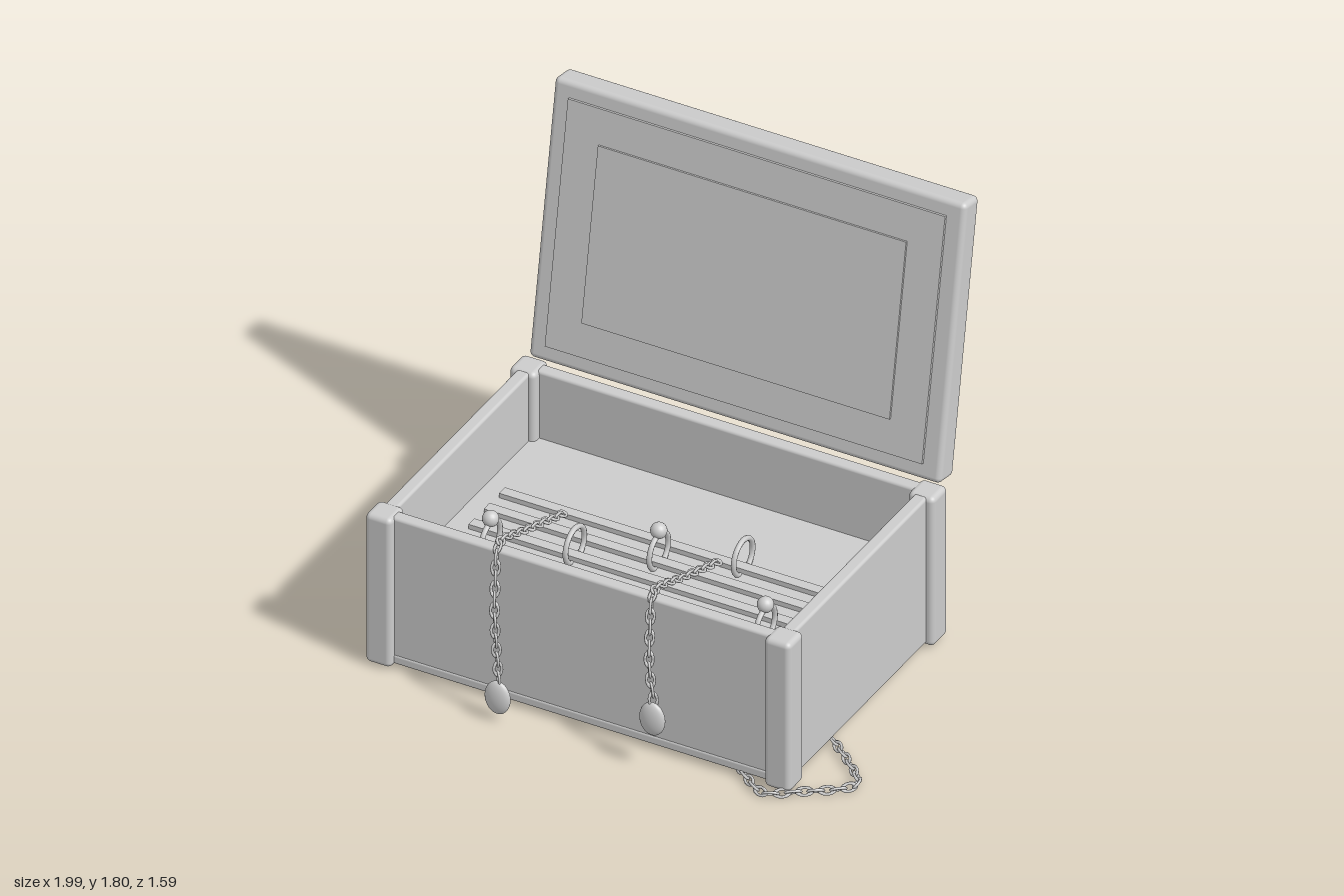
import * as THREE from 'three';
import { RoundedBoxGeometry } from 'three/addons/geometries/RoundedBoxGeometry.js';

const grey = new THREE.MeshStandardMaterial({ color: 0xcccccc });
grey.name = 'plain grey';

function add(parent, name, geometry, x = 0, y = 0, z = 0) {
  const mesh = new THREE.Mesh(geometry, grey);
  mesh.name = name;
  mesh.position.set(x, y, z);
  parent.add(mesh);
  return mesh;
}

// Box given by its limits on each axis, with optional rounded edges
function block(parent, name, [x0, x1], [y0, y1], [z0, z1], r = 0) {
  const size = [x1 - x0, y1 - y0, z1 - z0];
  const geometry = r ? new RoundedBoxGeometry(...size, 3, r) : new THREE.BoxGeometry(...size);
  return add(parent, name, geometry, (x0 + x1) / 2, (y0 + y1) / 2, (z0 + z1) / 2);
}

// Oval links along a curve, every other one turned a quarter
const linkGeometry = new THREE.TorusGeometry(0.015, 0.0055, 6, 14).scale(1.75, 1, 1);
function chain(parent, name, points) {
  const group = new THREE.Group();
  group.name = name;
  const curve = new THREE.CatmullRomCurve3(points.map((p) => new THREE.Vector3(...p)), false, 'centripetal');
  const count = Math.round(curve.getLength() / 0.041);
  const along = new THREE.Vector3(1, 0, 0);
  const twist = new THREE.Quaternion();
  for (let i = 0; i <= count; i++) {
    const link = add(group, 'chainLink', linkGeometry);
    link.position.copy(curve.getPointAt(i / count));
    link.quaternion.setFromUnitVectors(along, curve.getTangentAt(i / count));
    link.quaternion.multiply(twist.setFromAxisAngle(along, Math.PI / 4 + (i % 2) * Math.PI / 2));
  }
  parent.add(group);
}

export function createModel() {
  const model = new THREE.Group();
  model.name = 'jewelleryBox';

  // Walls, base and corner posts
  const body = new THREE.Group();
  body.name = 'body';
  model.add(body);
  const wallY = [0.032, 0.675];
  block(body, 'leftWall', [0.7, 0.755], wallY, [-0.47, 0.64], 0.012);
  block(body, 'rightWall', [-0.97, -0.915], wallY, [-0.47, 0.64], 0.012);
  block(body, 'frontWall', [-0.955, 0.74], wallY, [0.607, 0.66], 0.012);
  block(body, 'backWall', [-0.955, 0.74], wallY, [-0.49, -0.435], 0.012);
  block(body, 'base', [-0.965, 0.75], [0.03, 0.07], [-0.485, 0.664], 0.01);
  for (const x of [-0.945, 0.731]) {
    for (const z of [-0.455, 0.635]) {
      block(body, 'cornerPost', [x - 0.055, x + 0.055], [0.02, 0.68], [z - 0.056, z + 0.056], 0.022);
    }
  }

  // Raised tray floor with ring bars
  block(body, 'trayFloor', [-0.92, 0.705], [0.35, 0.38], [-0.44, 0.612]);
  for (const z of [-0.045, 0.071, 0.187, 0.303]) {
    block(body, 'ringBar', [-0.83, 0.615], [0.375, 0.4], [z - 0.022, z + 0.022]);
  }

  // Open lid, leaning back from its hinge line
  const lid = new THREE.Group();
  lid.name = 'lid';
  lid.position.set(-0.105, 0.68, -0.493);
  lid.rotation.x = -0.174;
  model.add(lid);
  block(lid, 'lidBoard', [-0.865, 0.865], [0, 1.145], [-0.11, 0], 0.022);
  block(lid, 'lidPanel', [-0.795, 0.79], [0.068, 1.08], [-0.02, 0.011]);
  block(lid, 'lidInset', [-0.65, 0.645], [0.21, 0.935], [-0.01, 0.02]);

  // Finger rings standing in the tray, some with a bead on top
  const bandGeometry = new THREE.TorusGeometry(0.072, 0.011, 8, 32).rotateY(Math.PI / 2);
  const beadGeometry = new THREE.SphereGeometry(0.032, 20, 14);
  const rings = [
    [-0.685, 0.303, true], [-0.395, 0.187, false], [-0.107, 0.071, true],
    [0.183, -0.045, false], [0.47, 0.303, true],
  ];
  for (const [x, z, hasBead] of rings) {
    add(model, 'ringBand', bandGeometry, x, 0.44, z);
    if (hasBead) add(model, 'ringBead', beadGeometry, x, 0.53, z);
  }

  // Two necklaces hanging over the front wall, each with an oval pendant
  const pendantGeometry = new THREE.SphereGeometry(1, 24, 16).scale(0.053, 0.071, 0.025);
  for (const [x, endY] of [[-0.54, 0.19], [0.11, 0.31]]) {
    chain(model, 'necklaceChain', [
      [x, 0.43, 0.02], [x + 0.035, 0.57, 0.35], [x + 0.07, 0.685, 0.62], [x + 0.085, 0.67, 0.67],
      [x + 0.1, 0.56, 0.71], [x + 0.12, 0.44, 0.75], [x + 0.145, endY, 0.765],
    ]);
    add(model, 'pendant', pendantGeometry, x + 0.145, endY - 0.08, 0.772);
  }

  // Loose chain lying around the front left corner
  chain(model, 'looseChain', [
    [0.33, 0.024, 0.44], [0.5, 0.024, 0.59], [0.62, 0.024, 0.69], [0.7, 0.024, 0.73], [0.8, 0.024, 0.67],
    [0.97, 0.024, 0.52], [0.87, 0.024, 0.4], [0.76, 0.024, 0.31],
  ]);

  return model;
}
